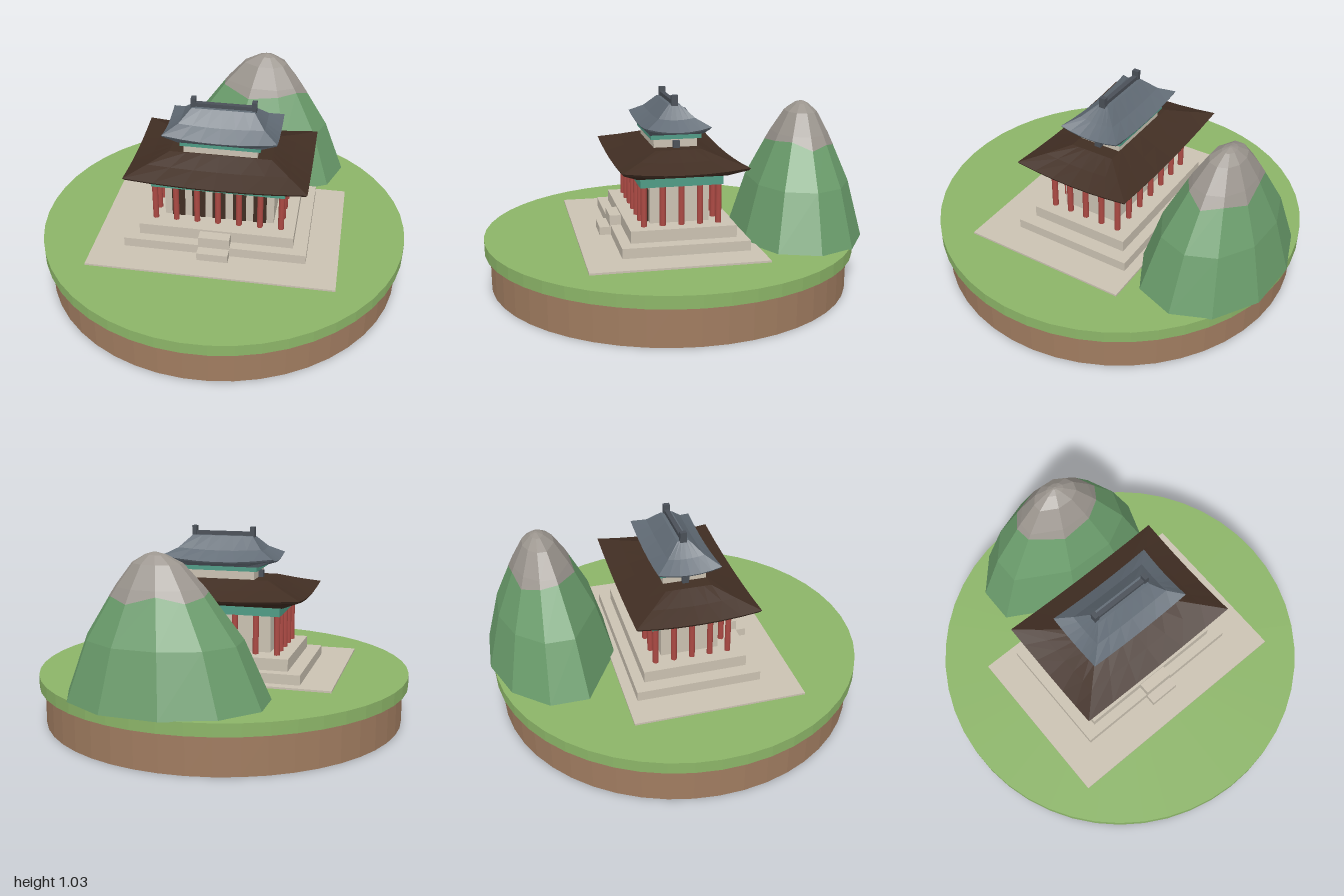
import * as THREE from 'three';

const paint = (name, hex) => {
  const m = new THREE.MeshStandardMaterial({ color: hex });
  m.name = name;
  return m;
};

// Flat-shaded solid through a list of rings (counterclockwise from above, bottom to top), closed at both ends
function loft(rings) {
  const pos = [];
  const tri = (a, b, c) => pos.push(...a, ...b, ...c);
  const n = rings[0].length;
  const middle = (r) => [0, 1, 2].map((k) => r.reduce((s, p) => s + p[k], 0) / n);
  const first = rings[0], last = rings[rings.length - 1];
  const low = middle(first), high = middle(last);
  for (let i = 0; i < n; i++) {
    const j = (i + 1) % n;
    for (let r = 0; r < rings.length - 1; r++) {
      const a = rings[r], b = rings[r + 1];
      tri(a[i], a[j], b[j]);
      tri(a[i], b[j], b[i]);
    }
    tri(first[j], first[i], low);
    tri(last[i], last[j], high);
  }
  const g = new THREE.BufferGeometry();
  g.setAttribute('position', new THREE.Float32BufferAttribute(pos, 3));
  g.computeVertexNormals();
  return g;
}

// Rectangular ring whose corners sweep up from yMid to yCorner
function eaveRing(w, d, yMid, yCorner) {
  const corners = [[-1, 1], [1, 1], [1, -1], [-1, -1]];
  const steps = 6, ring = [];
  corners.forEach((c, k) => {
    const e = corners[(k + 1) % 4];
    for (let i = 0; i < steps; i++) {
      const t = i / steps, lift = (2 * t - 1) ** 2;
      ring.push([
        (c[0] + (e[0] - c[0]) * t) * w / 2,
        yMid + (yCorner - yMid) * lift,
        (c[1] + (e[1] - c[1]) * t) * d / 2,
      ]);
    }
  });
  return ring;
}

export function createModel() {
  const grass = paint('grass', 0x8cb568);
  const soil = paint('soil', 0xa07c60);
  const forest = paint('forest green', 0x6a9c6b);
  const rock = paint('rock', 0x9b958e);
  const stone = paint('pale stone', 0xcbc2b2);
  const red = paint('red lacquer', 0xad4a44);
  const teal = paint('teal beam', 0x4f9c86);
  const brown = paint('dark brown', 0x412e23);
  const slate = paint('slate tile', 0x616b75);
  const ridgeGrey = paint('ridge grey', 0x4a5058);

  const model = new THREE.Group();
  const add = (parent, name, geometry, material, x = 0, y = 0, z = 0) => {
    const mesh = new THREE.Mesh(geometry, material);
    mesh.name = name;
    mesh.position.set(x, y, z);
    parent.add(mesh);
    return mesh;
  };

  // Round island
  const disc = (r, h) => {
    const g = new THREE.CylinderGeometry(r, r, h, 48).toNonIndexed();
    g.computeVertexNormals();
    return g;
  };
  add(model, 'soilBase', disc(0.97, 0.2), soil, 0, 0.1, 0);
  add(model, 'grassDisc', disc(1, 0.065), grass, 0, 0.2325, 0);

  // Ten-sided hill with a ragged rock cap
  const cx = 0.37, cz = -0.61;
  const foot = [
    [-0.18, -0.66], [0.09, -0.34], [0.42, -0.21], [0.67, -0.24], [0.81, -0.41],
    [0.80, -0.62], [0.64, -0.83], [0.37, -0.95], [0.10, -0.96], [-0.11, -0.85],
  ];
  const hillRing = (y, s) => foot.map(([x, z]) => [cx + (x - cx) * s, y, cz + (z - cz) * s]);
  add(model, 'hill', loft([
    hillRing(0.262, 1), hillRing(0.56, 0.76), hillRing(0.79, 0.455), hillRing(0.8, 0.3),
  ]), forest);
  const drop = [0, 0.03, 0.01, 0, 0.04, 0.02, 0.04, 0, 0.03, 0.01];
  const ragged = foot.map(([x, z], i) => {
    const s = 0.455 + drop[i] * 1.4;
    return [cx + (x - cx) * s, 0.79 - drop[i], cz + (z - cz) * s];
  });
  add(model, 'rockCap', loft([
    ragged, hillRing(0.815, 0.42), hillRing(0.925, 0.24), hillRing(0.965, 0.1), hillRing(0.977, 0.02),
  ]), rock);

  // Palace, turned on the island
  const palace = new THREE.Group();
  palace.name = 'palace';
  palace.rotation.y = -THREE.MathUtils.degToRad(20);
  model.add(palace);
  const box = (name, material, w, d, y0, y1, x = 0, z = 0) =>
    add(palace, name, new THREE.BoxGeometry(w, y1 - y0, d), material, x, (y0 + y1) / 2, z);

  // Courtyard, terraces and front steps
  box('courtyard', stone, 1.31, 0.9, 0.26, 0.275, 0, 0.065);
  box('lowerTerrace', stone, 0.974, 0.66, 0.265, 0.327, 0, 0);
  box('upperTerrace', stone, 0.826, 0.55, 0.32, 0.39, 0, 0);
  box('upperStep', stone, 0.165, 0.08, 0.32, 0.38, 0, 0.295);
  box('lowerStep', stone, 0.165, 0.08, 0.265, 0.318, 0, 0.35);

  // Hall walls and front doors
  box('hallWalls', stone, 0.59, 0.31, 0.385, 0.6);
  for (let i = -2; i <= 2; i++) box('door', brown, 0.07, 0.008, 0.39, 0.56, i * 0.11, 0.157);

  // Colonnade around the hall
  const column = new THREE.CylinderGeometry(0.016, 0.016, 0.215, 8);
  const nx = 7, nz = 5;
  for (let i = 0; i < nx; i++) {
    for (let k = 0; k < nz; k++) {
      if (i > 0 && i < nx - 1 && k > 0 && k < nz - 1) continue;
      add(palace, 'column', column, red,
        (i / (nx - 1) - 0.5) * 0.677, 0.4925, (k / (nz - 1) - 0.5) * 0.39);
    }
  }
  box('lowerBeam', teal, 0.71, 0.43, 0.595, 0.647);

  // Lower roof, sloping underside to flat crown
  add(palace, 'lowerRoof', loft([
    eaveRing(0.74, 0.46, 0.643, 0.643),
    eaveRing(0.935, 0.63, 0.668, 0.69),
    eaveRing(0.95, 0.645, 0.68, 0.702),
    eaveRing(0.74, 0.435, 0.72, 0.732),
    eaveRing(0.54, 0.24, 0.765, 0.765),
  ]), brown);

  // Upper storey
  box('upperWalls', stone, 0.39, 0.23, 0.75, 0.812);
  box('upperBeam', teal, 0.425, 0.265, 0.81, 0.838);
  add(palace, 'upperRoof', loft([
    eaveRing(0.44, 0.28, 0.834, 0.834),
    eaveRing(0.59, 0.32, 0.85, 0.872),
    eaveRing(0.6, 0.33, 0.858, 0.882),
    eaveRing(0.45, 0.19, 0.91, 0.92),
    eaveRing(0.33, 0.06, 0.982, 0.982),
  ]), slate);

  // Ridges with raised end blocks
  box('topRidge', ridgeGrey, 0.33, 0.025, 0.975, 1.003);
  for (const s of [-1, 1]) {
    box('topRidgeEnd', ridgeGrey, 0.025, 0.035, 0.975, 1.03, s * 0.16);
    box('lowerRidgeEnd', ridgeGrey, 0.03, 0.035, 0.76, 0.802, s * 0.205);
  }
  return model;
}
